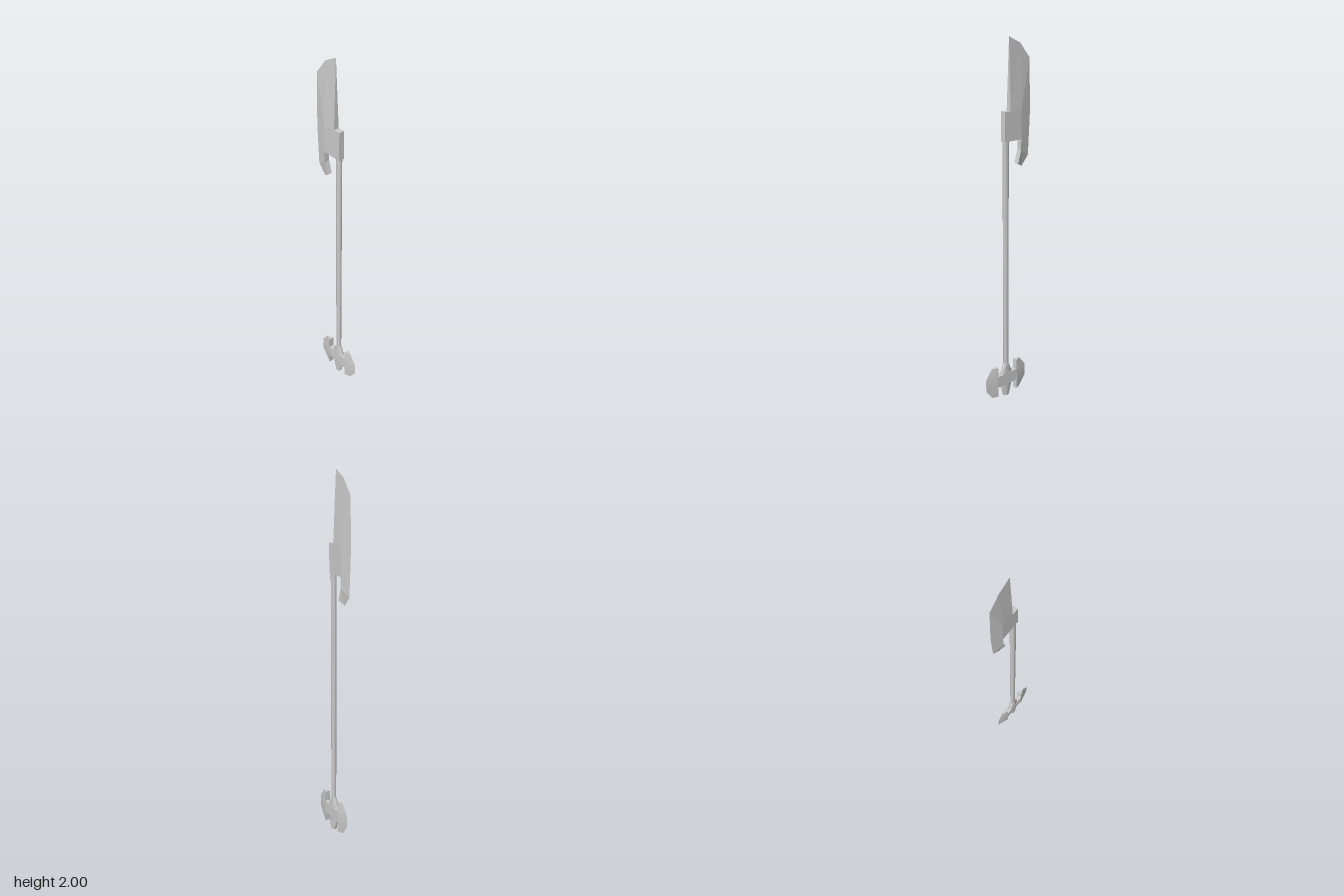
import * as THREE from 'three';
import { toCreasedNormals } from 'three/addons/utils/BufferGeometryUtils.js';

const T = 0.015; // half thickness of the whole weapon
const AXIS = 0.008; // x of the shaft

const material = new THREE.MeshStandardMaterial({ color: 0xcccccc });

function part(name, geometry) {
  const mesh = new THREE.Mesh(geometry, material);
  mesh.name = name;
  return mesh;
}

// Plate symmetric in z. points: [x, y, halfThickness]; faces: counter-clockwise
// from the front; the first rimCount points form the outline.
function plate(points, faces, rimCount, crease) {
  const out = [];
  const front = (i) => points[i];
  const back = (i) => [points[i][0], points[i][1], -points[i][2]];
  const tri = (a, b, c) => out.push(...a, ...b, ...c);
  for (const f of faces) {
    for (let k = 1; k < f.length - 1; k++) {
      tri(front(f[0]), front(f[k]), front(f[k + 1]));
      tri(back(f[0]), back(f[k + 1]), back(f[k]));
    }
  }
  for (let a = 0; a < rimCount; a++) {
    const b = (a + 1) % rimCount;
    if (points[a][2] > 0) tri(front(a), back(a), back(b));
    if (points[b][2] > 0) tri(front(a), back(b), front(b));
  }
  const g = new THREE.BufferGeometry();
  g.setAttribute('position', new THREE.Float32BufferAttribute(out, 3));
  g.computeVertexNormals();
  return crease ? toCreasedNormals(g, crease) : g;
}

export function createModel() {
  const model = new THREE.Group();
  model.name = 'polearm';

  // Blade with socket, hooked lower end and sharp outer edge
  const blade = [
    [0.027, 1.48, T], [0.027, 1.635, T], [-0.012, 1.635, T], [-0.014, 2.0, 0],
    [-0.088, 1.963, 0], [-0.152, 1.885, 0], [-0.157, 1.6, 0], [-0.146, 1.385, 0],
    [-0.102, 1.333, 0], [-0.065, 1.355, T], [-0.085, 1.42, T], [-0.085, 1.48, T],
    [-0.085, 1.635, T], // ridge point
  ];
  model.add(part('blade', plate(blade, [
    [0, 1, 2, 12, 11], [2, 3, 4, 12], [12, 4, 5], [12, 5, 6],
    [12, 6, 11], [11, 6, 7, 10], [10, 7, 8, 9],
  ], 12)));

  // Shaft
  const shaft = new THREE.CylinderGeometry(0.018, 0.016, 1.36, 8, 1);
  shaft.scale(1, 1, 0.8);
  shaft.translate(AXIS, 0.86, 0);
  model.add(part('shaft', shaft));

  // Pommel core: rings of varying width and constant depth
  const rings = [[0.2, 0.017], [0.143, 0.042], [0.075, 0.042], [0, 0.02]];
  const core = new THREE.CylinderGeometry(1, 1, 3, 12, 3);
  const p = core.attributes.position;
  for (let i = 0; i < p.count; i++) {
    const [y, w] = rings[Math.round(1.5 - p.getY(i))];
    p.setXYZ(i, AXIS + p.getX(i) * w, y, p.getZ(i) * T);
  }
  core.computeVertexNormals();
  model.add(part('pommelCore', toCreasedNormals(core, 0.9)));

  // Crossbar joining the two flanges
  const bar = new THREE.BoxGeometry(0.136, 0.068, T * 2);
  bar.translate(AXIS + 0.002, 0.108, 0);
  model.add(part('pommelCrossbar', bar));

  // Flanges tapering to sharp outer edges
  const flange = plate([
    [0.068, 0.015, T], [0.102, 0.015, 0], [0.144, 0.072, 0],
    [0.144, 0.145, 0], [0.102, 0.2, 0], [0.068, 0.2, T],
    [0.078, 0.072, T], [0.078, 0.145, T],
  ], [
    [0, 1, 6], [1, 2, 6], [6, 2, 3, 7], [7, 3, 4], [7, 4, 5], [0, 6, 7, 5],
  ], 6, 0.6);
  for (const [name, turn] of [['leftFlange', 0], ['rightFlange', Math.PI]]) {
    const mesh = part(name, flange);
    mesh.position.x = AXIS + 0.001;
    mesh.rotation.y = turn;
    model.add(mesh);
  }

  return model;
}
